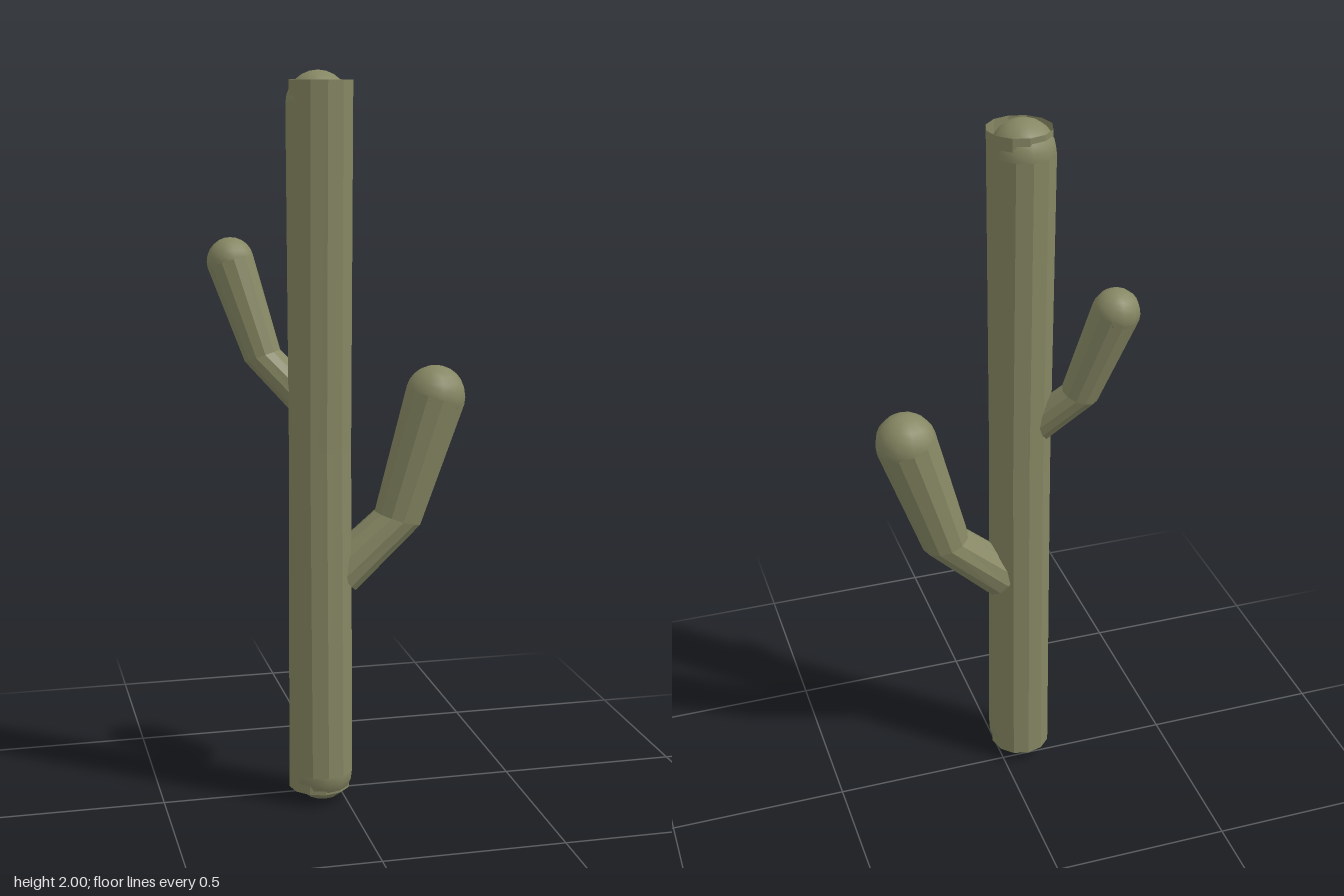
import * as THREE from 'three';

const SIDES = 12;
const V = (x, y, z) => new THREE.Vector3(x, y, z);

// Faceted tube through rings of { c: centre, n: facing, r: radius }, optionally closed at its start
function loft(rings, capStart = false) {
  const up = V(0, 1, 0);
  const loops = rings.map(({ c, n, r }) => {
    const q = new THREE.Quaternion().setFromUnitVectors(up, n.clone().normalize());
    return Array.from({ length: SIDES }, (_, i) => {
      const a = (i / SIDES) * Math.PI * 2;
      return V(Math.cos(a) * r, 0, -Math.sin(a) * r).applyQuaternion(q).add(c);
    });
  });
  const pts = [];
  for (let k = 0; k < loops.length - 1; k++) {
    const a = loops[k], b = loops[k + 1];
    for (let i = 0; i < SIDES; i++) {
      const j = (i + 1) % SIDES;
      pts.push(a[i], a[j], b[j], a[i], b[j], b[i]);
    }
  }
  if (capStart) {
    for (let i = 0; i < SIDES; i++) pts.push(rings[0].c, loops[0][(i + 1) % SIDES], loops[0][i]);
  }
  const g = new THREE.BufferGeometry().setFromPoints(pts);
  g.computeVertexNormals();
  return g;
}

export function createModel() {
  const group = new THREE.Group();
  const olive = new THREE.MeshStandardMaterial({ color: 0x868763, side: THREE.DoubleSide });
  olive.name = 'cactusOlive';

  const add = (name, geometry, parent = group) => {
    const m = new THREE.Mesh(geometry, olive);
    m.name = name;
    parent.add(m);
    return m;
  };
  const ball = (name, c, r, parent) =>
    add(name, new THREE.SphereGeometry(r, SIDES, 12), parent).position.copy(c);

  // Trunk: round-ended core with an open sleeve leaning slightly the other way
  const trunk = new THREE.Group();
  trunk.name = 'trunk';
  group.add(trunk);
  const R = 0.086;
  const low = V(-0.061, R, 0.057), high = V(-0.067, 2 - R, 0.045);
  const lean = high.clone().sub(low);
  add('trunkCore', loft([{ c: low, n: lean, r: R }, { c: high, n: lean, r: R }]), trunk);
  ball('trunkBottom', low, R, trunk);
  ball('trunkTop', high, R, trunk);
  const s0 = V(-0.067, 0.035, 0.045), s1 = V(-0.061, 1.975, 0.057);
  const sLean = s1.clone().sub(s0);
  add('trunkSleeve', loft([{ c: s0, n: sLean, r: R }, { c: s1, n: sLean, r: R }]), trunk);

  // Arms: a short lower piece bending into a widening upper piece with a round tip
  const arm = (name, base, bend, tip, radii) => {
    const g = new THREE.Group();
    g.name = name;
    group.add(g);
    const upper = tip.clone().sub(bend);
    add(name + 'Stem', loft([
      { c: base, n: bend.clone().sub(base), r: radii[0] },
      { c: bend, n: upper, r: radii[1] },
      { c: tip, n: upper, r: radii[2] },
    ], true), g);
    ball(name + 'Tip', tip, radii[2], g);
  };
  arm('leftArm', V(-0.01, 0.645, 0.045), V(0.155, 0.795, 0.045), V(0.259, 1.13, 0.045), [0.066, 0.067, 0.084]);
  arm('rightArm', V(-0.1, 1.13, 0.026), V(-0.204, 1.245, -0.034), V(-0.281, 1.497, -0.081), [0.049, 0.051, 0.064]);

  return group;
}
